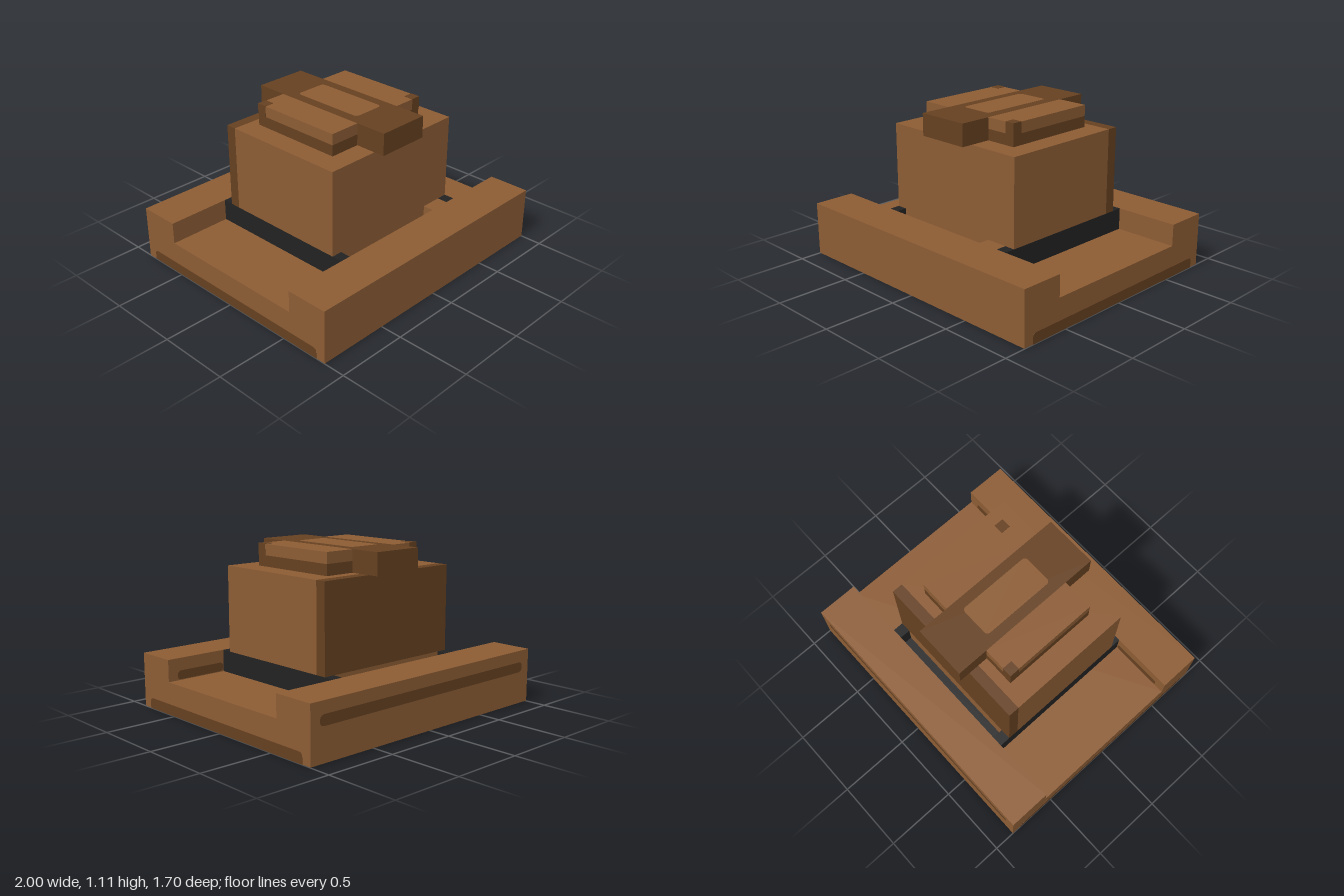
import * as THREE from 'three';

const mat = (name, color) => {
  const m = new THREE.MeshStandardMaterial({ color });
  m.name = name;
  return m;
};

export function createModel() {
  const brown = mat('brown wood', 0x8c5c34);
  const dark = mat('dark wood', 0x654020);
  const black = mat('black', 0x222222);
  const model = new THREE.Group();
  model.name = 'pedestal';

  const add = (name, geometry, material) => {
    const mesh = new THREE.Mesh(geometry, material);
    mesh.name = name;
    model.add(mesh);
    return mesh;
  };
  // Box given by its limits on each axis
  const box = (name, material, [x0, x1], [y0, y1], [z0, z1]) => {
    const g = new THREE.BoxGeometry(x1 - x0, y1 - y0, z1 - z0);
    g.translate((x0 + x1) / 2, (y0 + y1) / 2, (z0 + z1) / 2);
    return add(name, g, material);
  };
  // Thin painted plate lying in xy; rBottom = 0 leaves square lower corners
  const panel = (name, material, w, h, rTop, rBottom = rTop) => {
    const s = new THREE.Shape();
    const a = w / 2, b = h / 2;
    s.moveTo(-a + rBottom, -b);
    s.lineTo(a - rBottom, -b);
    s.quadraticCurveTo(a, -b, a, -b + rBottom);
    s.lineTo(a, b - rTop);
    s.quadraticCurveTo(a, b, a - rTop, b);
    s.lineTo(-a + rTop, b);
    s.quadraticCurveTo(-a, b, -a, b - rTop);
    s.lineTo(-a, -b + rBottom);
    s.quadraticCurveTo(-a, -b, -a + rBottom, -b);
    const g = new THREE.ExtrudeGeometry(s, { depth: 0.003, bevelEnabled: false, curveSegments: 5 });
    return add(name, g, material);
  };

  // Base: U-shaped profile with a channel running along x
  const u = new THREE.Shape([
    [-0.85, 0], [0.85, 0], [0.85, 0.37], [0.555, 0.37],
    [0.555, 0.22], [-0.555, 0.22], [-0.555, 0.37], [-0.85, 0.37],
  ].map(([z, y]) => new THREE.Vector2(z, y)));
  const baseGeo = new THREE.ExtrudeGeometry(u, { depth: 2, bevelEnabled: false });
  baseGeo.rotateY(Math.PI / 2).translate(-1, 0, 0);
  add('base', baseGeo, brown);

  // Dark underside and the bands wrapping up both ends
  const under = panel('undersidePanel', dark, 2, 1.56, 0);
  under.rotation.x = Math.PI / 2;
  under.position.y = 0.001;
  for (const s of [-1, 1]) {
    const band = panel('endBand', dark, 1.56, 0.07, 0.03, 0);
    band.rotation.y = s * Math.PI / 2;
    band.position.set(s * 0.999, 0.036, 0);
  }

  // Stripes on the rear-facing faces: back of base and inside of the front wall
  const backStripe = panel('backStripe', dark, 1.86, 0.07, 0.035);
  backStripe.rotation.y = Math.PI;
  backStripe.position.set(0, 0.255, -0.849);
  for (const s of [-1, 1]) {
    const stripe = panel('channelStripe', dark, 0.37, 0.06, 0.03);
    stripe.rotation.y = Math.PI;
    stripe.position.set(s * 0.745, 0.255, 0.556);
  }

  // Lower core sitting in the channel, with black cheeks and slot floors
  box('core', brown, [-0.48, 0.48], [0.22, 0.37], [-0.48, 0.48]);
  for (const s of [-1, 1]) {
    box('blackCheek', black, s < 0 ? [-0.555, -0.48] : [0.48, 0.555], [0.22, 0.37], [-0.555, 0.555]);
    box('slotFloor', black, [-0.48, 0.48], [0.215, 0.225], s < 0 ? [-0.555, -0.48] : [0.48, 0.555]);
  }
  box('slotBridge', brown, [0.33, 0.48], [0.22, 0.37], [0.48, 0.555]);

  // Body with a dark back slab
  box('body', brown, [-0.555, 0.555], [0.37, 0.96], [-0.405, 0.48]);
  box('bodyBack', dark, [-0.555, 0.555], [0.37, 0.96], [-0.48, -0.405]);

  // Cap plate halves either side of the bar: dark lower layer, brown top, one dark corner each
  for (const s of [-1, 1]) {
    const span = (a, b) => (s > 0 ? [a, b] : [-b, -a]);
    box('capLower', dark, span(0.185, 0.405), [0.96, 1.035], [-0.335, 0.335]);
    box('capUpper', brown, span(0.185, 0.405), [1.035, 1.11], [-0.335, 0.335]);
    box('capCorner', dark, span(0.338, 0.407), [1.035, 1.112], span(0.267, 0.337));
  }

  // Cross bar with a light inlay
  box('capBar', dark, [-0.185, 0.185], [0.96, 1.11], [-0.555, 0.555]);
  const inlay = panel('barInlay', brown, 0.23, 0.53, 0.03);
  inlay.rotation.x = -Math.PI / 2;
  inlay.position.y = 1.109;

  return model;
}
